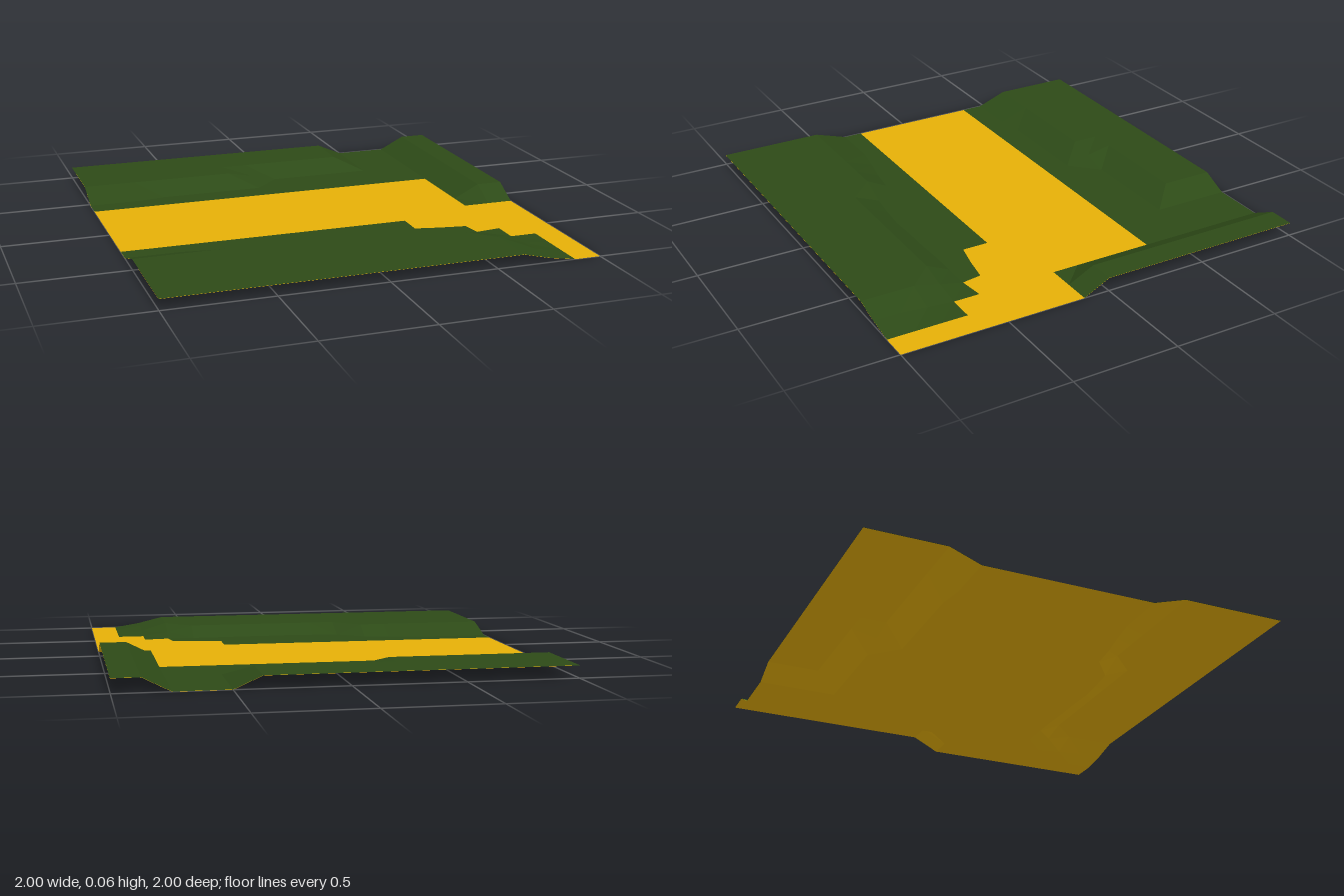
import * as THREE from 'three';

const N = 16, STEP = 2 / N;

// Row where each column's front bank starts, and how far its foot is nudged in z
const frontFoot = [11, 11, 11, 11, 11, 11, 12, 12, 12, 12, 12, 12, 12, 13, 14, 17, 17];
const frontNudge = [-0.035, -0.035, -0.035, -0.015, 0.01, 0.025, 0, 0.015, 0.025, 0.02, 0.02, 0.015, 0.015];

// Half-raised corners that soften the bends of the banks: 'column,row' -> height
const softened = {
  '7,3': 0.03, '13,13': 0.02,
  '14,14': 0.01, '14,15': 0.02, '14,16': 0.02,
};

function heightAt(i, j) {
  const soft = softened[`${i},${j}`];
  if (soft !== undefined) return soft;
  if (i >= 15 && j <= 8) return 0.063;                   // side hill
  const backFoot = i <= 7 ? 4 : i <= 11 ? 3 : 0;
  if (j < backFoot) return 0.055;                        // back hill
  if (j > frontFoot[i] && i < 14) return 0.05;           // front hill
  return 0;
}

function pointAt(i, j, lift) {
  let x = -1 + i * STEP, z = -1 + j * STEP;
  if (j === frontFoot[i] && i < 13) z += frontNudge[i];
  if (j === 4 && i <= 2) z += 0.02;
  // irregular corners of the path edge
  if (j === 11 && i === 12) { x -= 0.01; z += 0.025; }
  if (j === 11 && i === 13) { x -= 0.01; z += 0.045; }
  if (j === 12 && i === 13) { x += 0.005; z += 0.015; }
  return [x, heightAt(i, j) + lift, z];
}

// Grass covers the three hills; the winding path stays bare
function isGrass(i, j) {
  const frontStart = i < 11 ? 10 : i < 13 ? 11 : i === 13 ? 12 : i === 14 ? 13 : N;
  return j < 5 || (i >= 14 && j < 9) || j >= frontStart;
}

// Open sheet made of the grid cells that pass a test
function sheet(name, color, test, lift) {
  const positions = [];
  for (let i = 0; i < N; i++) {
    for (let j = 0; j < N; j++) {
      if (!test(i, j)) continue;
      const a = pointAt(i, j, lift), b = pointAt(i, j + 1, lift);
      const c = pointAt(i + 1, j + 1, lift), d = pointAt(i + 1, j, lift);
      // the inner bend of the back bank is split the other way
      const corners = i === 7 && j === 3 ? [a, b, d, b, c, d] : [a, b, c, a, c, d];
      positions.push(...corners.flat());
    }
  }
  const geometry = new THREE.BufferGeometry();
  geometry.setAttribute('position', new THREE.Float32BufferAttribute(positions, 3));
  geometry.computeVertexNormals();
  const material = new THREE.MeshStandardMaterial({ color, flatShading: true, side: THREE.DoubleSide });
  const mesh = new THREE.Mesh(geometry, material);
  mesh.name = name;
  return mesh;
}

export function createModel() {
  const group = new THREE.Group();
  group.name = 'terrainTile';
  // bare earth runs under everything, with the grass laid just above it
  group.add(
    sheet('earth', 0xe6b007, () => true, 0),
    sheet('grass', 0x2d4a17, isGrass, 0.001),
  );
  return group;
}
